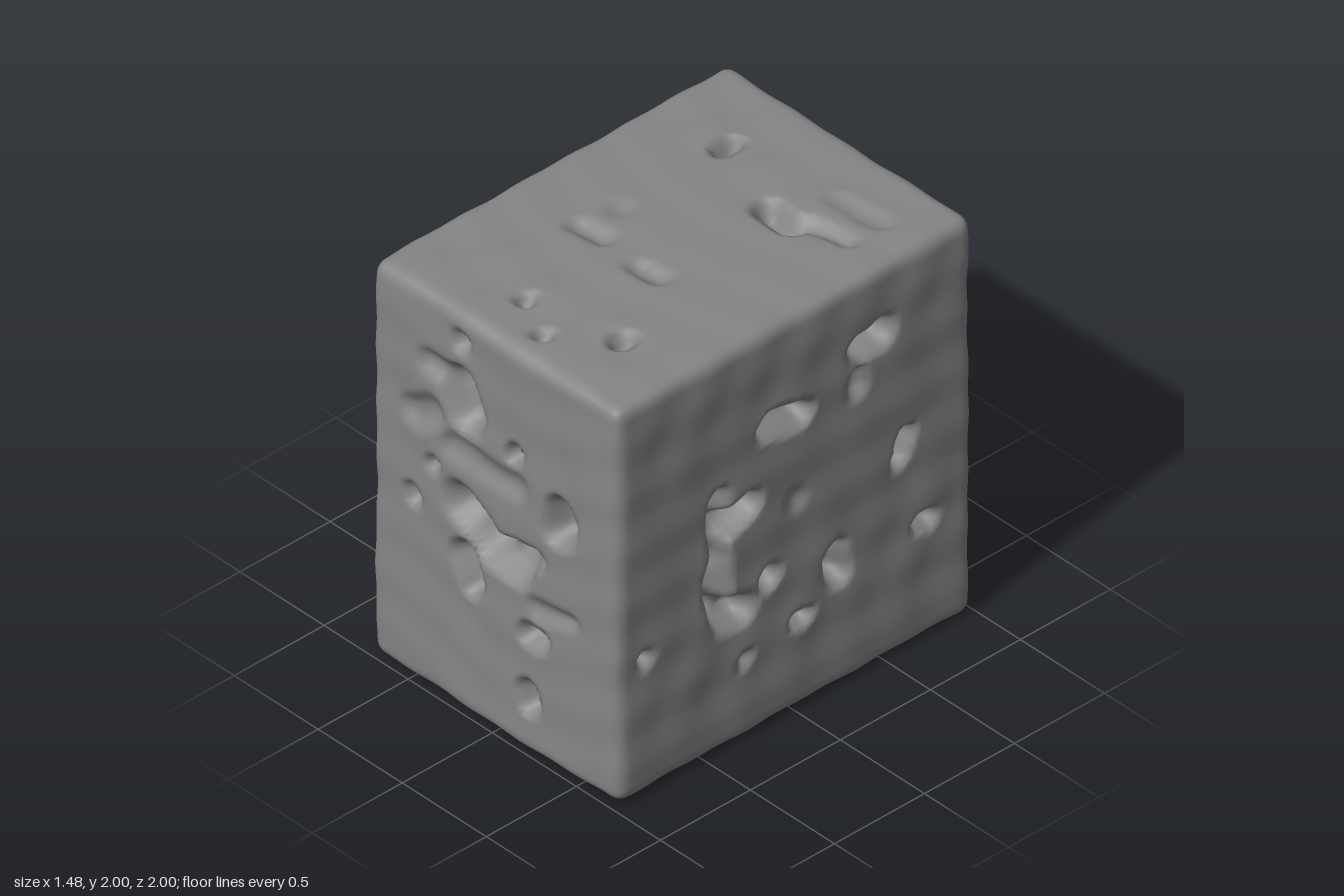
import * as THREE from 'three';
import { mergeVertices } from 'three/addons/utils/BufferGeometryUtils.js';

const HALF = [0.742, 1.002, 0.998];
const EDGE = 0.07;

// Pits on each face: [u0, v0, u1, v1, radius, depth], a hollow swept between two points
const FRONT = [ // u = x, v = y
  [-0.2, 1.86, -0.2, 1.84, 0.06, 0.06], [-0.21, 1.62, -0.17, 1.5, 0.12, 0.12],
  [-0.38, 1.65, -0.25, 1.64, 0.09, 0.04], [0.12, 1.46, 0.12, 1.46, 0.055, 0.09],
  [0.39, 1.31, 0.39, 1.21, 0.09, 0.13], [-0.48, 1.35, -0.38, 1.42, 0.09, 0.04],
  [-0.25, 1.3, 0.12, 1.31, 0.09, 0.03], [-0.37, 1.14, -0.37, 1.14, 0.055, 0.05],
  [-0.2, 1.04, -0.08, 0.96, 0.12, 0.12], [-0.05, 0.92, 0.14, 0.9, 0.11, 0.11],
  [0.1, 0.96, 0.23, 0.99, 0.07, 0.1], [-0.49, 0.94, -0.49, 0.92, 0.055, 0.06],
  [-0.18, 0.78, -0.13, 0.68, 0.08, 0.1], [0.24, 0.75, 0.44, 0.79, 0.06, 0.03],
  [0.2, 0.6, 0.26, 0.6, 0.07, 0.1], [0.19, 0.3, 0.2, 0.26, 0.07, 0.1],
];
const LEFT = [ // u = z, v = y
  [0.42, 1.28, 0.43, 0.95, 0.065, 0.09], [0.43, 0.95, 0.42, 0.7, 0.075, 0.12],
  [0.4, 0.67, 0.29, 0.66, 0.09, 0.13], [0.36, 1.12, 0.26, 1.17, 0.075, 0.12],
  [0.14, 0.75, 0.14, 0.74, 0.065, 0.1], [0.15, 1.51, -0.04, 1.48, 0.07, 0.13],
  [-0.37, 1.64, -0.48, 1.66, 0.085, 0.13], [-0.35, 1.5, -0.35, 1.46, 0.065, 0.05],
  [-0.62, 1.08, -0.58, 0.97, 0.06, 0.09], [-0.23, 0.68, -0.24, 0.57, 0.075, 0.13],
  [-0.7, 0.6, -0.75, 0.59, 0.055, 0.09], [0.83, 0.67, 0.83, 0.67, 0.055, 0.07],
  [-0.02, 0.46, -0.06, 0.45, 0.05, 0.08], [0.28, 0.39, 0.28, 0.39, 0.05, 0.04],
  [0, 1.06, 0, 1.06, 0.07, 0.025],
];
const TOP = [ // u = x, v = z
  [-0.3, -0.62, -0.3, -0.56, 0.055, 0.1], [0.13, -0.42, 0.26, -0.42, 0.08, 0.11],
  [0.28, -0.48, 0.5, -0.5, 0.06, 0.04], [0.28, -0.66, 0.5, -0.7, 0.07, 0.02],
  [-0.29, 0.02, -0.29, 0.02, 0.08, 0.02], [-0.32, 0.21, -0.2, 0.21, 0.07, 0.035],
  [0.06, 0.22, 0.15, 0.22, 0.07, 0.035], [0.37, 0.62, 0.37, 0.62, 0.07, 0.1],
  [-0.1, 0.72, -0.1, 0.72, 0.055, 0.07], [0.12, 0.83, 0.12, 0.83, 0.06, 0.06],
];
const BACK = [ // u = x, v = y
  [0.31, 1.65, 0.31, 1.63, 0.065, 0.09], [0.44, 1.38, 0.42, 1.08, 0.09, 0.12],
  [-0.14, 1.64, -0.14, 1.64, 0.06, 0.06], [-0.14, 1.48, -0.28, 1.1, 0.13, 0.12],
  [-0.56, 1.5, -0.56, 1.5, 0.055, 0.06], [0.18, 0.82, 0.15, 0.66, 0.13, 0.14],
  [0.12, 0.6, 0, 0.36, 0.11, 0.1], [-0.34, 0.86, -0.42, 0.78, 0.12, 0.14],
  [-0.44, 0.74, -0.46, 0.48, 0.14, 0.1], [0.44, 0.59, 0.44, 0.59, 0.065, 0.06],
  [-0.24, 0.5, -0.34, 0.38, 0.11, 0.06], [-0.31, 0.18, -0.31, 0.18, 0.07, 0.06],
];
const RIGHT = [ // u = z, v = y
  [-0.22, 1.78, 0.02, 1.78, 0.08, 0.13], [0.42, 1.36, 0.42, 1.16, 0.075, 0.13],
  [0.44, 1.05, 0.46, 0.95, 0.075, 0.12], [-0.32, 1.24, -0.32, 1.24, 0.07, 0.1],
  [-0.36, 0.82, -0.36, 0.82, 0.07, 0.1], [-0.22, 1.51, -0.22, 1.51, 0.05, 0.05],
  [0.25, 0.47, 0.25, 0.4, 0.07, 0.11], [0.6, 0.57, 0.6, 0.55, 0.065, 0.1],
  [0.64, 0.88, 0.66, 0.82, 0.06, 0.09], [0.77, 0.85, 0.77, 0.85, 0.05, 0.06],
];
const BOTTOM = [ // u = x, v = z
  [0.34, 0.18, 0.08, -0.2, 0.13, 0.12], [-0.02, 0.4, -0.36, 0.04, 0.1, 0.11],
  [-0.16, -0.74, -0.2, -0.68, 0.08, 0.09], [0.13, -0.73, 0.13, -0.73, 0.06, 0.06],
  [-0.43, -0.58, -0.43, -0.58, 0.07, 0.07], [0.28, 0.65, 0.24, 0.68, 0.08, 0.07],
];
// For every face: normal axis, its sign, the two in-plane axes, and its pits
const FACES = [
  [2, 1, 0, 1, FRONT], [2, -1, 0, 1, BACK], [0, 1, 2, 1, LEFT],
  [0, -1, 2, 1, RIGHT], [1, 1, 0, 2, TOP], [1, -1, 0, 2, BOTTOM],
];

// Distance from a point to a segment
function segmentDistance(u, v, [u0, v0, u1, v1]) {
  const du = u1 - u0, dv = v1 - v0, len = du * du + dv * dv;
  const t = len ? THREE.MathUtils.clamp(((u - u0) * du + (v - v0) * dv) / len, 0, 1) : 0;
  return Math.hypot(u - u0 - du * t, v - v0 - dv * t);
}

// Gentle surface unevenness, 0 to 1
function ripple([x, y, z]) {
  const s = Math.sin(19 * x + 2 * Math.sin(5 * z + 3 * y)) + Math.sin(23 * y + 2 * Math.sin(4 * x + 1))
    + Math.sin(21 * z + 2 * Math.sin(5 * y + 3 * x));
  return (s + 3) / 6;
}

// Depth of all pits of a face at one point, with softly uneven rims
function pitDepth(u, v, pits) {
  const wu = u + 0.012 * Math.sin(17 * v + 3) * Math.cos(13 * u);
  const wv = v + 0.012 * Math.sin(15 * u + 1) * Math.cos(14 * v);
  let remaining = 1;
  let limit = 0;
  for (const p of pits) {
    const k = 1 - THREE.MathUtils.smoothstep(segmentDistance(wu, wv, p) / p[4], 0.15, 1.1);
    limit = Math.max(limit, p[5] * k);
    remaining *= 1 - p[5] * k;
  }
  // Blend overlapping pits without letting them add up fully
  return (limit + 1 - remaining) / 2;
}

function createStone() {
  const box = new THREE.BoxGeometry(HALF[0] * 2, HALF[1] * 2, HALF[2] * 2, 66, 88, 88);
  box.deleteAttribute('uv');
  box.deleteAttribute('normal');
  const geometry = mergeVertices(box, 1e-4);
  const pos = geometry.attributes.position;
  const normal = new THREE.Vector3();
  for (let i = 0; i < pos.count; i++) {
    // Round the edges: inner box plus a fixed offset
    const p = [pos.getX(i), pos.getY(i), pos.getZ(i)];
    const core = p.map((c, a) => THREE.MathUtils.clamp(c, EDGE - HALF[a], HALF[a] - EDGE));
    normal.set(p[0] - core[0], p[1] - core[1], p[2] - core[2]).normalize();
    const n = normal.toArray();
    const offset = EDGE - 0.014 * ripple(p);
    const out = core.map((c, a) => c + n[a] * offset);
    out[1] += 1;
    // Sink the pits into whichever face this point lies on
    for (const [axis, sign, ua, va, pits] of FACES) {
      if (n[axis] * sign > 0.9) out[axis] -= sign * pitDepth(out[ua], out[va], pits);
    }
    pos.setXYZ(i, ...out);
  }
  geometry.computeVertexNormals();
  return geometry;
}

export function createModel() {
  const group = new THREE.Group();
  group.name = 'pittedStoneBlock';
  const stone = new THREE.Mesh(createStone(), new THREE.MeshStandardMaterial({ color: 0x858585 }));
  stone.name = 'stone';
  group.add(stone);
  return group;
}
